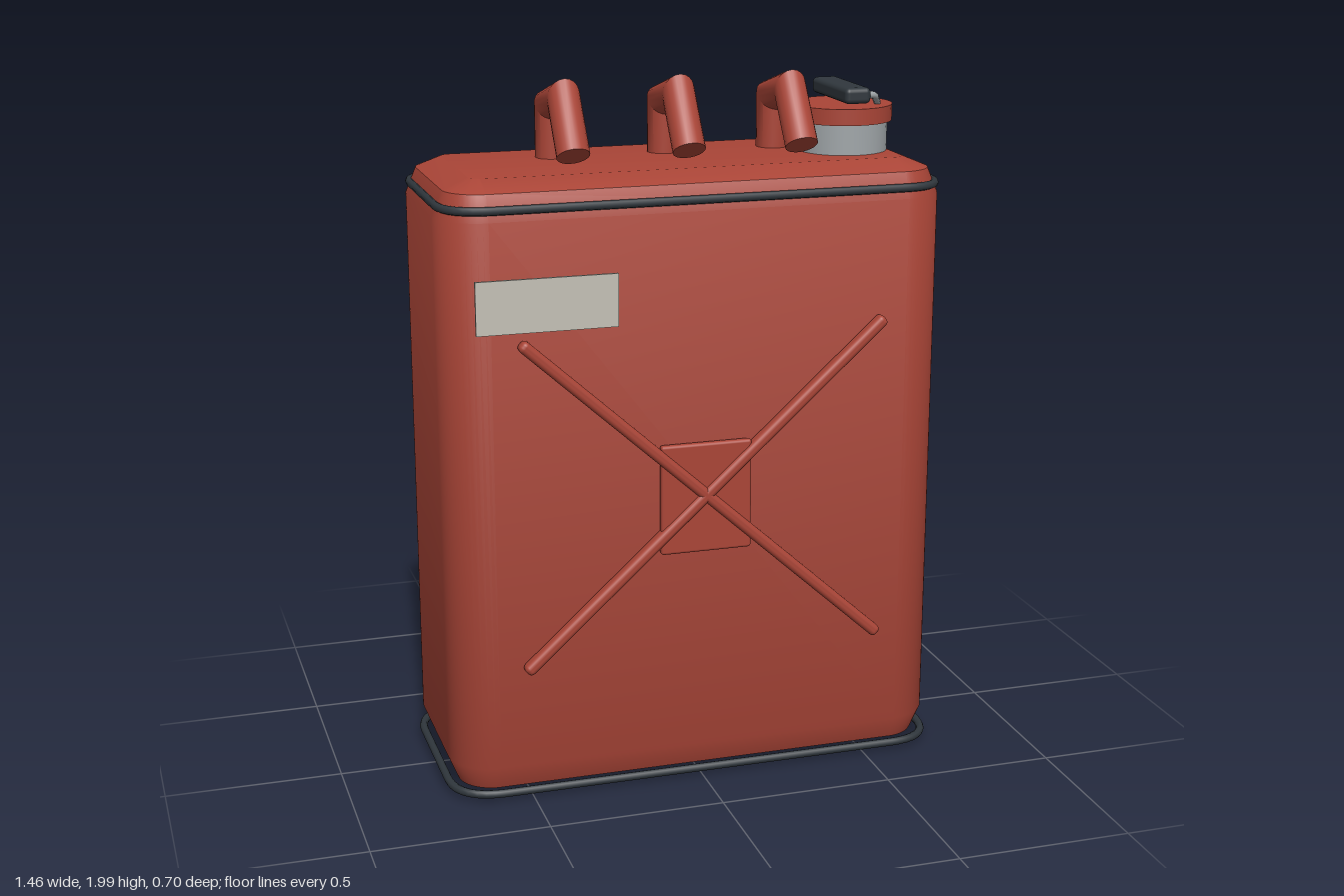
import * as THREE from 'three';
import { toCreasedNormals } from 'three/addons/utils/BufferGeometryUtils.js';
import { RoundedBoxGeometry } from 'three/addons/geometries/RoundedBoxGeometry.js';

const V = (x, y, z) => new THREE.Vector3(x, y, z);
const mat = (name, color) => Object.assign(new THREE.MeshStandardMaterial({ color }), { name });

export function createModel() {
  const red = mat('red paint', 0xaa4537);
  const rubber = mat('dark rubber', 0x30373d);
  const metal = mat('bare metal', 0xa0a6a9);
  const paper = mat('label grey', 0xc4c1b6);

  const model = new THREE.Group();
  model.name = 'fuelCan';
  const add = (name, geometry, material, x = 0, y = 0, z = 0) => {
    const mesh = new THREE.Mesh(geometry, material);
    mesh.name = name;
    mesh.position.set(x, y, z);
    model.add(mesh);
    return mesh;
  };

  // Body: rounded rectangle extruded upwards with a two-step bevel
  const w = 0.62, d = 0.21, r = 0.03, bevel = 0.1;
  const outline = new THREE.Shape();
  outline.absarc(w - r, d - r, r, 0, Math.PI / 2);
  outline.absarc(-w + r, d - r, r, Math.PI / 2, Math.PI);
  outline.absarc(-w + r, -d + r, r, Math.PI, Math.PI * 1.5);
  outline.absarc(w - r, -d + r, r, Math.PI * 1.5, Math.PI * 2);
  const body = new THREE.ExtrudeGeometry(outline, {
    depth: 1.555, bevelThickness: bevel, bevelSize: bevel, bevelSegments: 2, curveSegments: 6,
  });
  body.rotateX(-Math.PI / 2);
  add('body', toCreasedNormals(body, 0.65), red, 0, 0.105, 0);

  // Seams: thin rubber loops around the top and bottom edges
  const seam = (name, y, hx, hz, c) => {
    const path = new THREE.CurvePath();
    const corners = [[1, 1], [-1, 1], [-1, -1], [1, -1]];
    corners.forEach(([sx, sz], i) => {
      const alongX = V(sx * (hx - c), 0, sz * hz), alongZ = V(sx * hx, 0, sz * (hz - c));
      const [from, to] = i % 2 ? [alongX, alongZ] : [alongZ, alongX];
      path.add(new THREE.QuadraticBezierCurve3(from, V(sx * hx, 0, sz * hz), to));
      const [nx, nz] = corners[(i + 1) % 4];
      const next = i % 2 ? V(nx * hx, 0, nz * (hz - c)) : V(nx * (hx - c), 0, nz * hz);
      path.add(new THREE.LineCurve3(to, next));
    });
    add(name, new THREE.TubeGeometry(path, 160, 0.012, 8, true), rubber, 0, y, 0);
  };
  seam('topSeam', 1.69, 0.708, 0.304, 0.13);
  seam('bottomSeam', 0.03, 0.72, 0.312, 0.14);

  // Handles: round bars with mitred bends, lofted along a side path of [z, y]
  const handleGeometry = () => {
    const path = [[-0.08, 1.72], [-0.08, 1.905], [0.065, 1.945], [0.167, 1.8]].map(p => new THREE.Vector2(...p));
    const n = 20, radius = 0.046, pos = [], index = [];
    const dirs = path.slice(1).map((p, i) => p.clone().sub(path[i]).normalize());
    path.forEach((p, i) => {
      const a = dirs[Math.max(i - 1, 0)], b = dirs[Math.min(i, dirs.length - 1)];
      const t = a.clone().add(b).normalize();
      const k = radius / t.dot(b);
      for (let j = 0; j < n; j++) {
        const q = (j / n) * Math.PI * 2, s = Math.cos(q) * k;
        pos.push(Math.sin(q) * radius, p.y + t.x * s, p.x - t.y * s);
      }
    });
    for (let i = 0; i < path.length - 1; i++) {
      for (let j = 0; j < n; j++) {
        const a = i * n + j, b = i * n + (j + 1) % n;
        index.push(a, b, a + n, b, b + n, a + n);
      }
    }
    const last = (path.length - 1) * n;
    for (let j = 1; j < n - 1; j++) {
      index.push(0, j + 1, j, last, last + j, last + j + 1);
    }
    const g = new THREE.BufferGeometry();
    g.setAttribute('position', new THREE.Float32BufferAttribute(pos, 3));
    g.setIndex(index);
    return toCreasedNormals(g, 0.6);
  };
  const handle = handleGeometry();
  // Keep the winding outward whichever way the rings run
  const p = handle.attributes.position, nm = handle.attributes.normal;
  let facing = 0;
  for (let i = 0; i < p.count; i++) facing += p.getX(i) * nm.getX(i);
  if (facing < 0) {
    for (let i = 0; i < p.count; i += 3) {
      const b = V().fromBufferAttribute(p, i + 1), c = V().fromBufferAttribute(p, i + 2);
      const nb = V().fromBufferAttribute(nm, i + 1), nc = V().fromBufferAttribute(nm, i + 2);
      p.setXYZ(i + 1, c.x, c.y, c.z);
      p.setXYZ(i + 2, b.x, b.y, b.z);
      nm.setXYZ(i + 1, nc.x, nc.y, nc.z);
      nm.setXYZ(i + 2, nb.x, nb.y, nb.z);
    }
    for (let i = 0; i < nm.count; i++) nm.setXYZ(i, -nm.getX(i), -nm.getY(i), -nm.getZ(i));
  }
  [['rightHandle', -0.326], ['middleHandle', 0], ['leftHandle', 0.326]].forEach(([name, x]) => add(name, handle, red, x));

  // Pressed cross and centre plate on the front and back
  const angle = Math.atan2(0.93, 1.03);
  for (const [side, s] of [['front', 1], ['back', -1]]) {
    for (const turn of [1, -1]) {
      const rib = add(side + 'CrossRib', new RoundedBoxGeometry(1.4, 0.034, 0.04, 3, 0.014), red, 0, 0.865, s * 0.329);
      rib.rotation.z = turn * angle;
    }
    add(side + 'CentrePlate', new RoundedBoxGeometry(0.262, 0.316, 0.024, 2, 0.008), red, 0, 0.858, s * 0.326);
  }

  // Label plate
  add('label', new THREE.BoxGeometry(0.39, 0.146, 0.008), paper, -0.445, 1.438, 0.335);

  // Spout, lid, lever and its bent wire
  add('spoutNeck', new THREE.CylinderGeometry(0.128, 0.128, 0.12, 40), metal, 0.5, 1.79, 0.024);
  add('lid', new THREE.CylinderGeometry(0.141, 0.141, 0.046, 40), red, 0.5, 1.868, 0.024);
  add('lever', new RoundedBoxGeometry(0.076, 0.045, 0.275, 3, 0.014), rubber, 0.497, 1.926, 0.02);
  const wire = new THREE.CurvePath();
  wire.add(new THREE.LineCurve3(V(0.46, 1.925, 0.128), V(0.535, 1.925, 0.128)));
  wire.add(new THREE.QuadraticBezierCurve3(V(0.535, 1.925, 0.128), V(0.56, 1.925, 0.125), V(0.565, 1.915, 0.11)));
  wire.add(new THREE.LineCurve3(V(0.565, 1.915, 0.11), V(0.588, 1.893, 0.07)));
  add('leverWire', new THREE.TubeGeometry(wire, 24, 0.01, 8), metal);

  return model;
}
